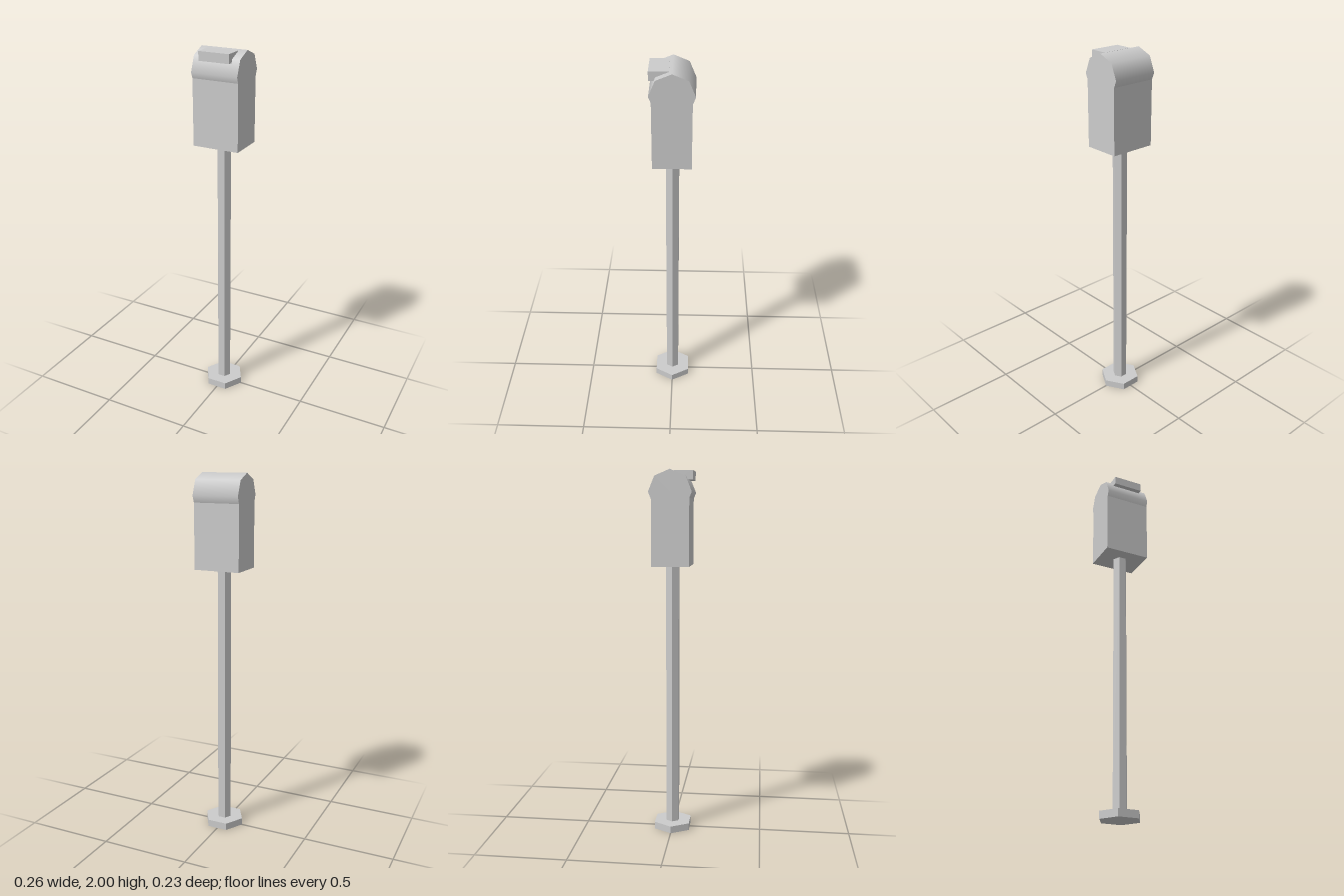
import * as THREE from 'three';

export function createModel() {
  const model = new THREE.Group();
  const grey = new THREE.MeshStandardMaterial({ color: 0xcccccc });
  grey.name = 'light grey';

  const add = (name, geometry, x, y, z) => {
    const mesh = new THREE.Mesh(geometry, grey);
    mesh.name = name;
    mesh.position.set(x, y, z);
    model.add(mesh);
    return mesh;
  };

  // six-sided prism with crisp sides and corners pointing along x
  const hexPrism = (radius, height) =>
    new THREE.CylinderGeometry(radius, radius, height, 6).rotateY(Math.PI / 6).toNonIndexed();
  const addHex = (name, radius, bottom, top) => {
    const geometry = hexPrism(radius, top - bottom);
    geometry.computeVertexNormals();
    add(name, geometry, 0, (bottom + top) / 2, 0);
  };

  // foot and post
  addHex('base', 0.113, 0, 0.04);
  addHex('post', 0.04, 0.04, 1.5);

  // housing with a smooth rounded hood lying across it
  add('housing', new THREE.BoxGeometry(0.256, 0.36, 0.2), 0, 1.68, 0);
  const hood = new THREE.CylinderGeometry(0.114, 0.114, 0.256, 8).rotateZ(Math.PI / 2);
  add('hood', hood, 0, 1.886, -0.001);

  // small block jutting out at the front of the hood
  add('frontBlock', new THREE.BoxGeometry(0.169, 0.048, 0.099), 0, 1.972, 0.0645);

  return model;
}
